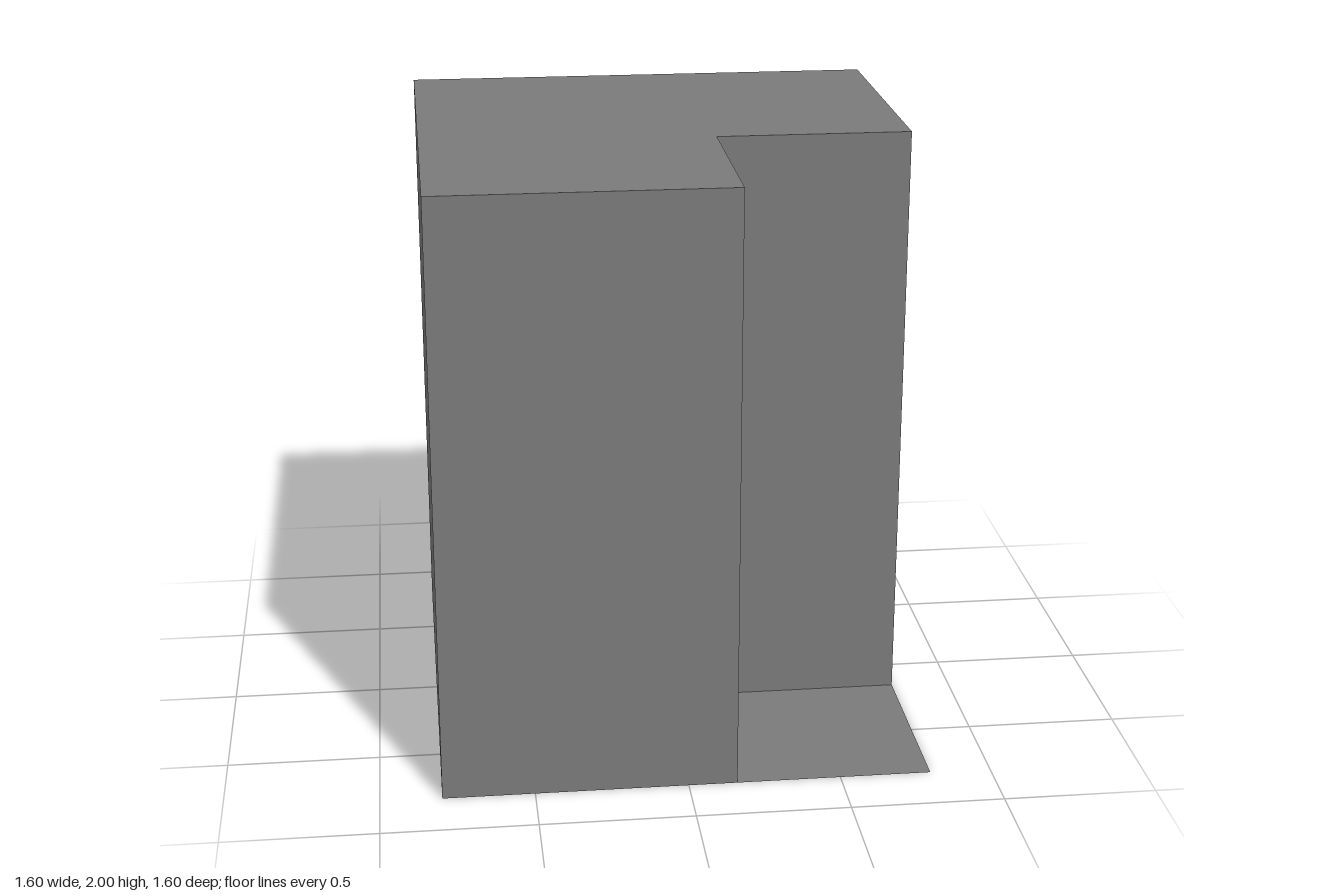
import * as THREE from 'three';

const HALF = 0.8;    // half the footprint
const HEIGHT = 2;
const NOTCH = 0.16;  // inner corner of the cut-out, in x and z

export function createModel() {
  const group = new THREE.Group();
  group.name = 'notchedBlock';

  const grey = new THREE.MeshStandardMaterial({ color: 0x7a7a7a, side: THREE.DoubleSide });
  grey.name = 'grey';

  // L-shaped block, drawn as a plan (shape y = -z) and raised to full height
  const plan = new THREE.Shape([
    [-HALF, -HALF], [NOTCH, -HALF], [NOTCH, -NOTCH],
    [HALF, -NOTCH], [HALF, HALF], [-HALF, HALF],
  ].map(([x, y]) => new THREE.Vector2(x, y)));
  const blockGeometry = new THREE.ExtrudeGeometry(plan, { depth: HEIGHT, bevelEnabled: false });
  blockGeometry.rotateX(-Math.PI / 2);
  const block = new THREE.Mesh(blockGeometry, grey);
  block.name = 'block';
  group.add(block);

  // Thin floor left in the open corner, level with the base
  const size = HALF - NOTCH;
  const middle = (HALF + NOTCH) / 2;
  const floorGeometry = new THREE.PlaneGeometry(size, size);
  floorGeometry.rotateX(-Math.PI / 2);
  const floor = new THREE.Mesh(floorGeometry, grey);
  floor.name = 'cornerFloor';
  floor.position.set(middle, 0, middle);
  group.add(floor);

  return group;
}
